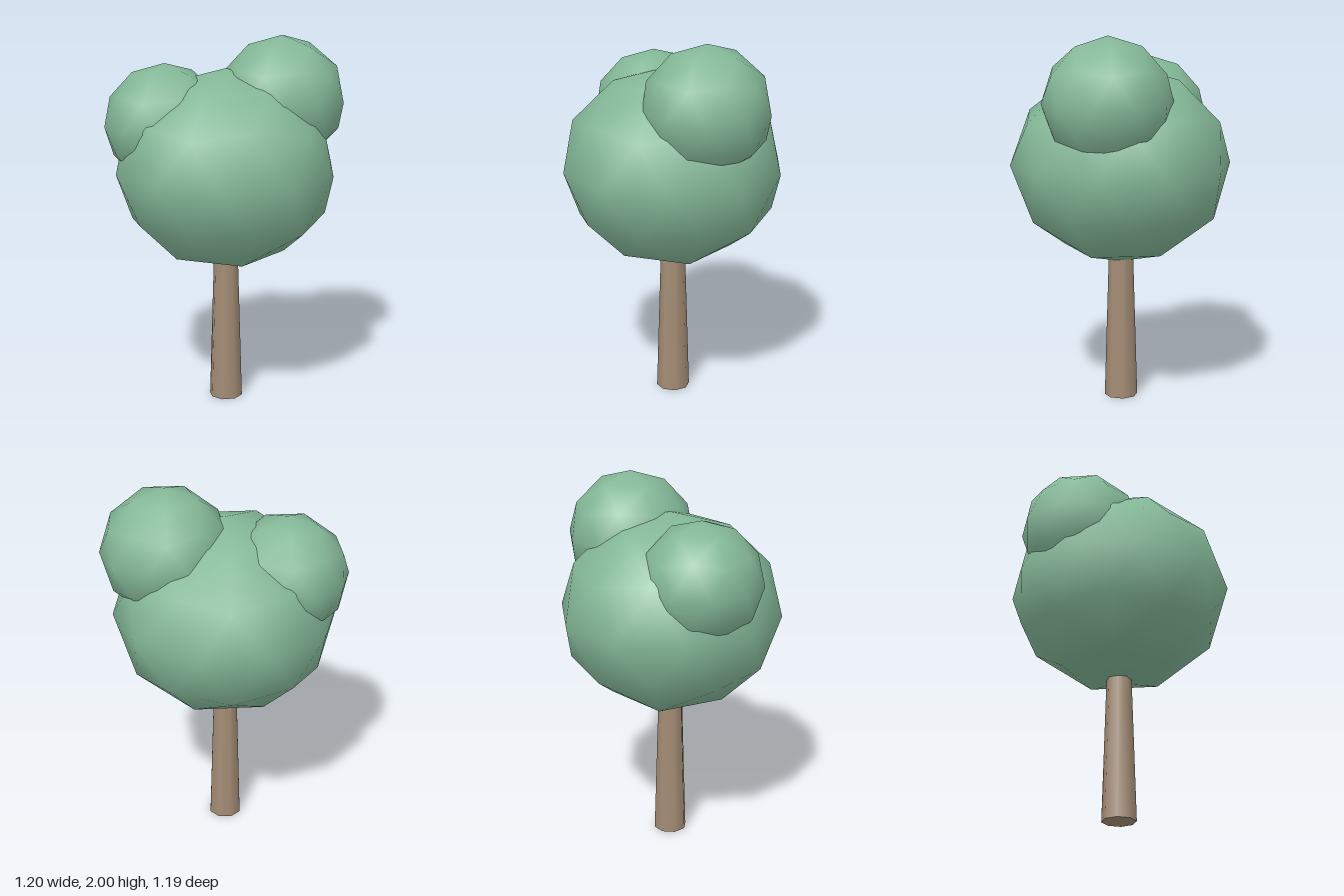
import * as THREE from 'three';

export function createModel() {
  const tree = new THREE.Group();
  tree.name = 'tree';

  const leafGreen = new THREE.MeshStandardMaterial({ color: 0x84b898 });
  leafGreen.name = 'leaf green';
  const barkBrown = new THREE.MeshStandardMaterial({ color: 0xa38c75 });
  barkBrown.name = 'bark brown';

  // Smooth low-poly ball, turned so that a corner of the icosahedron points up
  const ball = new THREE.IcosahedronGeometry(1, 1);
  ball.rotateZ(-Math.atan(2 / (1 + Math.sqrt(5))));

  function addFoliage(name, radius, heightScale, x, y, z) {
    const mesh = new THREE.Mesh(ball, leafGreen);
    mesh.name = name;
    mesh.scale.set(radius, radius * heightScale, radius);
    mesh.position.set(x, y, z);
    tree.add(mesh);
  }

  // Slightly squashed crown with two smaller clumps
  addFoliage('crown', 0.597, 0.9, -0.02, 1.3, 0);
  addFoliage('leftClump', 0.342, 1, 0.273, 1.66, 0.098);
  addFoliage('rightClump', 0.325, 1, -0.291, 1.54, -0.175);

  // Tapered eight-sided trunk reaching into the crown
  const trunk = new THREE.Mesh(new THREE.CylinderGeometry(0.061, 0.091, 1, 8), barkBrown);
  trunk.name = 'trunk';
  trunk.position.set(-0.02, 0.5, 0);
  tree.add(trunk);

  return tree;
}
